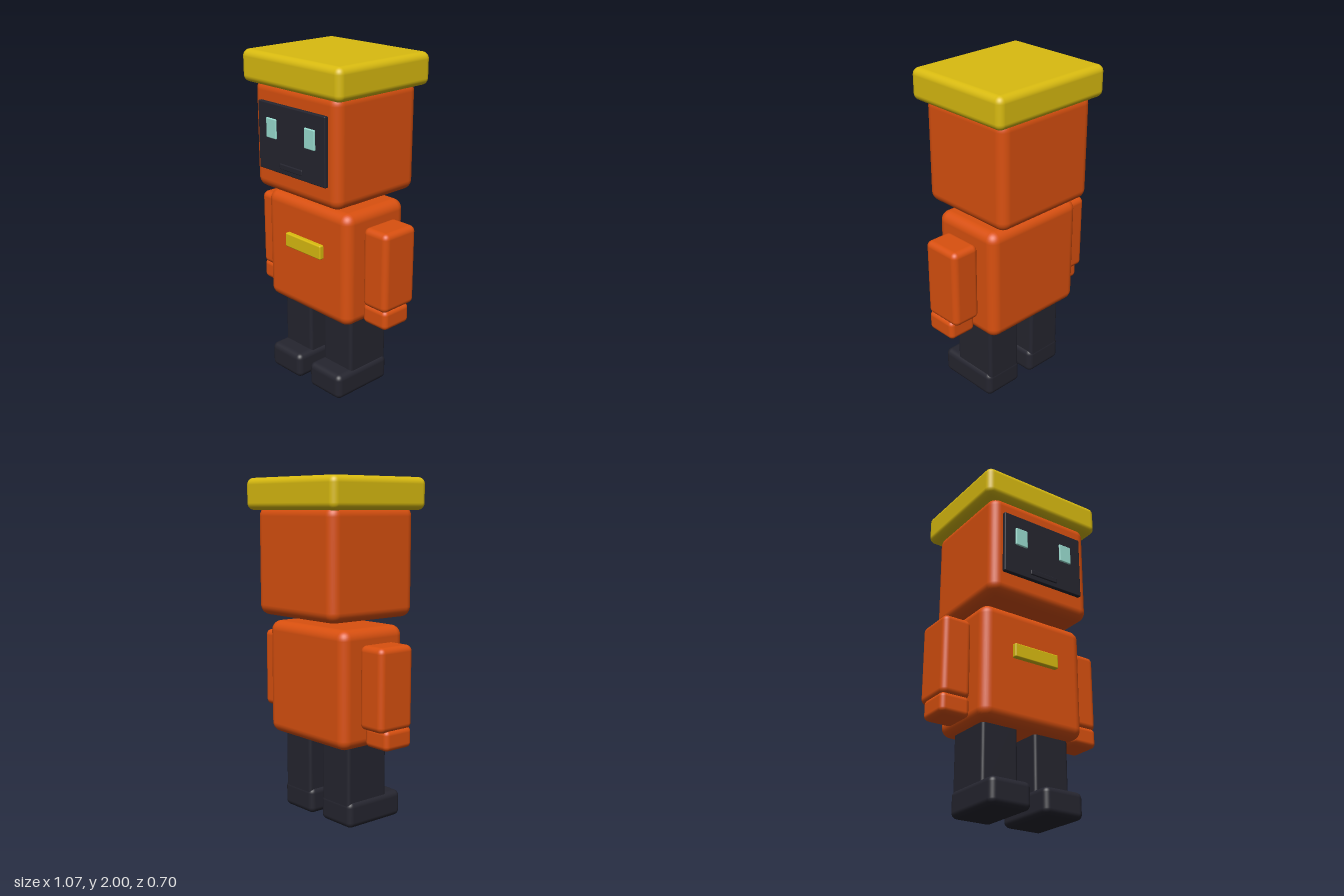
import * as THREE from 'three';
import { RoundedBoxGeometry } from 'three/addons/geometries/RoundedBoxGeometry.js';

const paint = (name, color) => {
  const material = new THREE.MeshStandardMaterial({ color });
  material.name = name;
  return material;
};

export function createModel() {
  const orange = paint('orange', 0xd9500f);
  const yellow = paint('yellow', 0xd9bb10);
  const dark = paint('charcoal', 0x25252f);
  const mint = paint('mint', 0x99ddd0);

  const model = new THREE.Group();
  model.name = 'blockRobot';

  // Rounded block given by its [min, max] extent on each axis
  const block = (name, material, [x0, x1], [y0, y1], [z0, z1], radius) => {
    const geometry = new RoundedBoxGeometry(x1 - x0, y1 - y0, z1 - z0, 4, radius);
    const mesh = new THREE.Mesh(geometry, material);
    mesh.name = name;
    mesh.position.set((x0 + x1) / 2, (y0 + y1) / 2, (z0 + z1) / 2);
    model.add(mesh);
  };

  // Head and flat cap
  block('cap', yellow, [-0.4, 0.4], [1.815, 2], [-0.352, 0.352], 0.04);
  block('head', orange, [-0.345, 0.345], [1.203, 1.84], [-0.313, 0.313], 0.06);

  // Face screen and mouth
  block('faceScreen', dark, [-0.275, 0.275], [1.335, 1.727], [0.295, 0.335], 0.006);
  block('mouth', dark, [-0.093, 0.093], [1.364, 1.396], [0.325, 0.342], 0.005);

  // Torso and chest badge
  block('torso', orange, [-0.345, 0.345], [0.477, 1.162], [-0.233, 0.235], 0.06);
  block('chestBadge', yellow, [-0.15, 0.15], [0.858, 0.943], [0.22, 0.262], 0.008);

  // Mirrored parts
  for (const [side, s] of [['left', 1], ['right', -1]]) {
    const span = (a, b) => (s > 0 ? [a, b] : [-b, -a]);
    block(side + 'Eye', mint, span(0.117, 0.2), [1.528, 1.642], [0.325, 0.344], 0.006);
    block(side + 'Arm', orange, span(0.35, 0.532), [0.6, 1.078], [-0.125, 0.125], 0.035);
    block(side + 'Hand', orange, span(0.35, 0.533), [0.493, 0.615], [-0.082, 0.12], 0.03);
    block(side + 'Leg', dark, span(0.056, 0.291), [0.08, 0.56], [-0.146, 0.15], 0.02);
    block(side + 'Foot', dark, span(0.042, 0.305), [0, 0.157], [-0.148, 0.26], 0.035);
  }

  return model;
}
